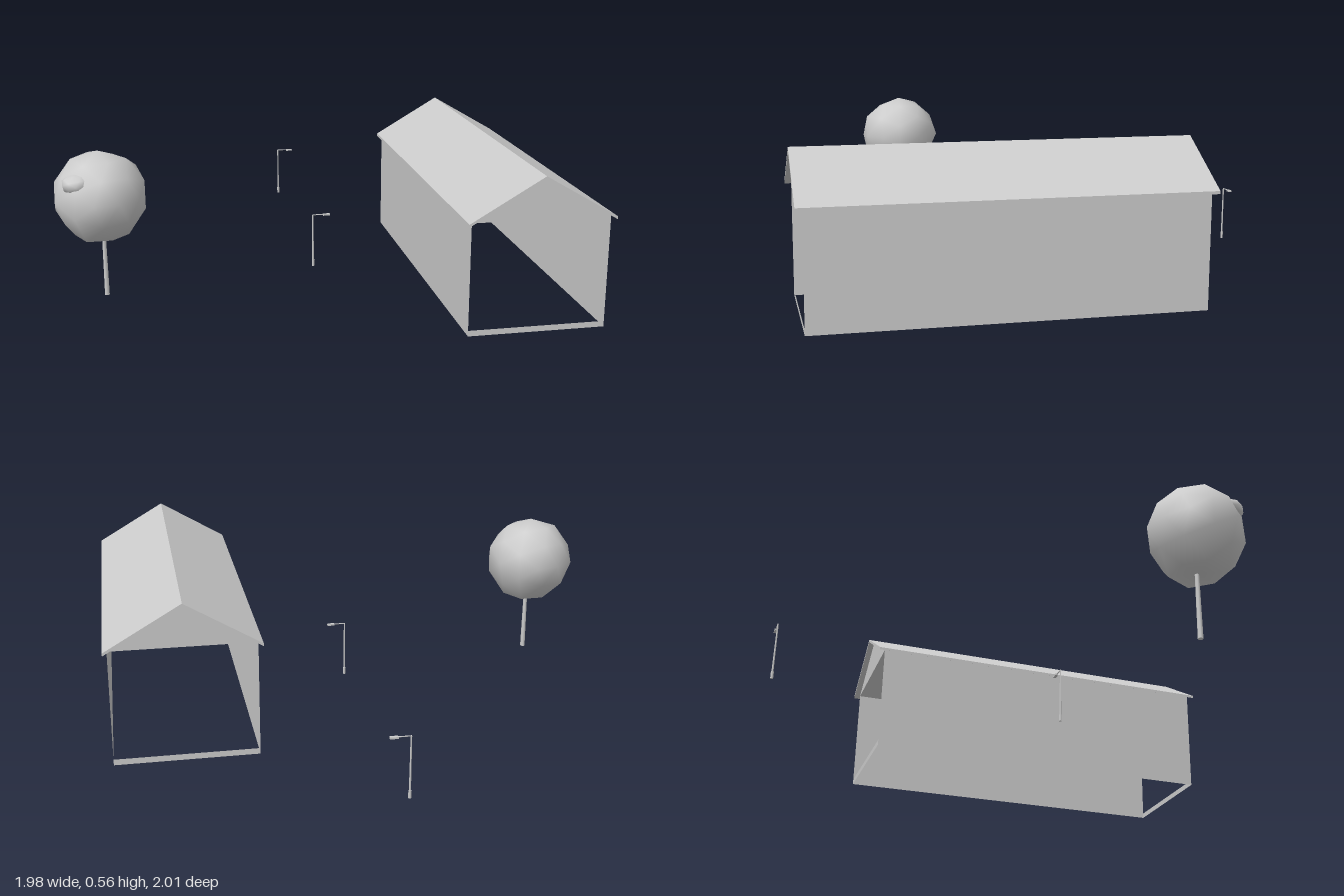
import * as THREE from 'three';
import { mergeVertices } from 'three/addons/utils/BufferGeometryUtils.js';

const mat = new THREE.MeshStandardMaterial({ color: 0xcccccc, side: THREE.DoubleSide });

function add(parent, name, geometry, x = 0, y = 0, z = 0) {
  const mesh = new THREE.Mesh(geometry, mat);
  mesh.name = name;
  mesh.position.set(x, y, z);
  parent.add(mesh);
  return mesh;
}

function polygon(points) {
  return new THREE.Shape(points.map(([x, y]) => new THREE.Vector2(x, y)));
}

// Open-ended hall, long axis along its local x
function createHall() {
  const hall = new THREE.Group();
  hall.name = 'hall';
  const L = 1.3, W = 0.477, wallTop = 0.392, ridge = 0.543;
  const roofL = 1.343, half = 0.253, eave = 0.385, t = 0.01;

  for (const s of [-1, 1]) {
    // long side wall
    const wall = add(hall, 'sideWall', new THREE.PlaneGeometry(L, wallTop), 0, wallTop / 2, s * W / 2);
    if (s < 0) wall.rotation.y = Math.PI;
    // gable panel above each open end
    const gable = add(hall, 'gable', new THREE.ShapeGeometry(
      polygon([[-W / 2, wallTop], [W / 2, wallTop], [0, ridge - t / 2]])), s * L / 2);
    gable.rotation.y = s * Math.PI / 2;
    // threshold strip at ground level
    const sill = add(hall, 'threshold', new THREE.PlaneGeometry(W, 0.02), s * L / 2, 0.01, 0);
    sill.rotation.y = s * Math.PI / 2;
  }

  // thin pitched roof with overhang
  const roof = add(hall, 'roof', new THREE.ExtrudeGeometry(
    polygon([[-half, eave], [0, ridge - t], [half, eave], [half, eave + t], [0, ridge], [-half, eave + t]]),
    { depth: roofL, bevelEnabled: false }), -roofL / 2);
  roof.rotation.y = Math.PI / 2;
  return hall;
}

// Street lamp with its arm reaching towards local -z
function createLamp() {
  const lamp = new THREE.Group();
  lamp.name = 'streetLamp';
  add(lamp, 'lampBase', new THREE.CylinderGeometry(0.005, 0.005, 0.025, 8), 0, 0.0125, 0);
  add(lamp, 'lampPole', new THREE.CylinderGeometry(0.0025, 0.0035, 0.203, 8), 0, 0.1015, 0);
  const arm = add(lamp, 'lampArm', new THREE.CylinderGeometry(0.002, 0.002, 0.045, 6), 0, 0.203, -0.0215);
  arm.rotation.x = Math.PI / 2;
  add(lamp, 'lampHead', new THREE.BoxGeometry(0.011, 0.006, 0.026), 0, 0.202, -0.052);
  return lamp;
}

// Irregular rounded foliage from a coarse sphere
function foliage(detail, seed, rough, flatBottom) {
  let g = new THREE.IcosahedronGeometry(1, detail);
  g.deleteAttribute('normal');
  g.deleteAttribute('uv');
  g = mergeVertices(g, 1e-3);
  const p = g.attributes.position;
  let s = seed;
  for (let i = 0; i < p.count; i++) {
    s = (s * 16807) % 2147483647;
    const k = 1 + rough * (s / 2147483647 - 0.5);
    const y = p.getY(i);
    if (flatBottom && y < -0.8) p.setXYZ(i, p.getX(i), -0.9, p.getZ(i));
    else if (y < 0.99) p.setXYZ(i, p.getX(i) * k, y * k, p.getZ(i) * k);
  }
  g.computeVertexNormals();
  return g;
}

function createTree() {
  const tree = new THREE.Group();
  tree.name = 'tree';
  add(tree, 'trunk', new THREE.CylinderGeometry(0.007, 0.009, 0.24, 8), 0, 0.145, 0);
  add(tree, 'crown', foliage(1, 4711, 0.1, true), 0, 0.395, 0.006).scale.setScalar(0.16);
  // small tuft pushing out of the crown
  const tuft = add(tree, 'tuft', foliage(1, 99, 0.15, false), 0.035, 0.46, 0.1);
  tuft.scale.set(0.06, 0.036, 0.055);
  return tree;
}

export function createModel() {
  const model = new THREE.Group();
  const angle = -0.44;

  const hall = createHall();
  hall.position.set(0.27, 0, -0.485);
  hall.rotation.y = angle;
  model.add(hall);

  for (const [x, y, z] of [[-0.989, 0.034, -0.383], [-0.066, 0.025, 0.06]]) {
    const lamp = createLamp();
    lamp.position.set(x, y, z);
    lamp.rotation.y = angle;
    model.add(lamp);
  }

  const tree = createTree();
  tree.position.set(-0.243, 0, 0.834);
  model.add(tree);
  return model;
}
